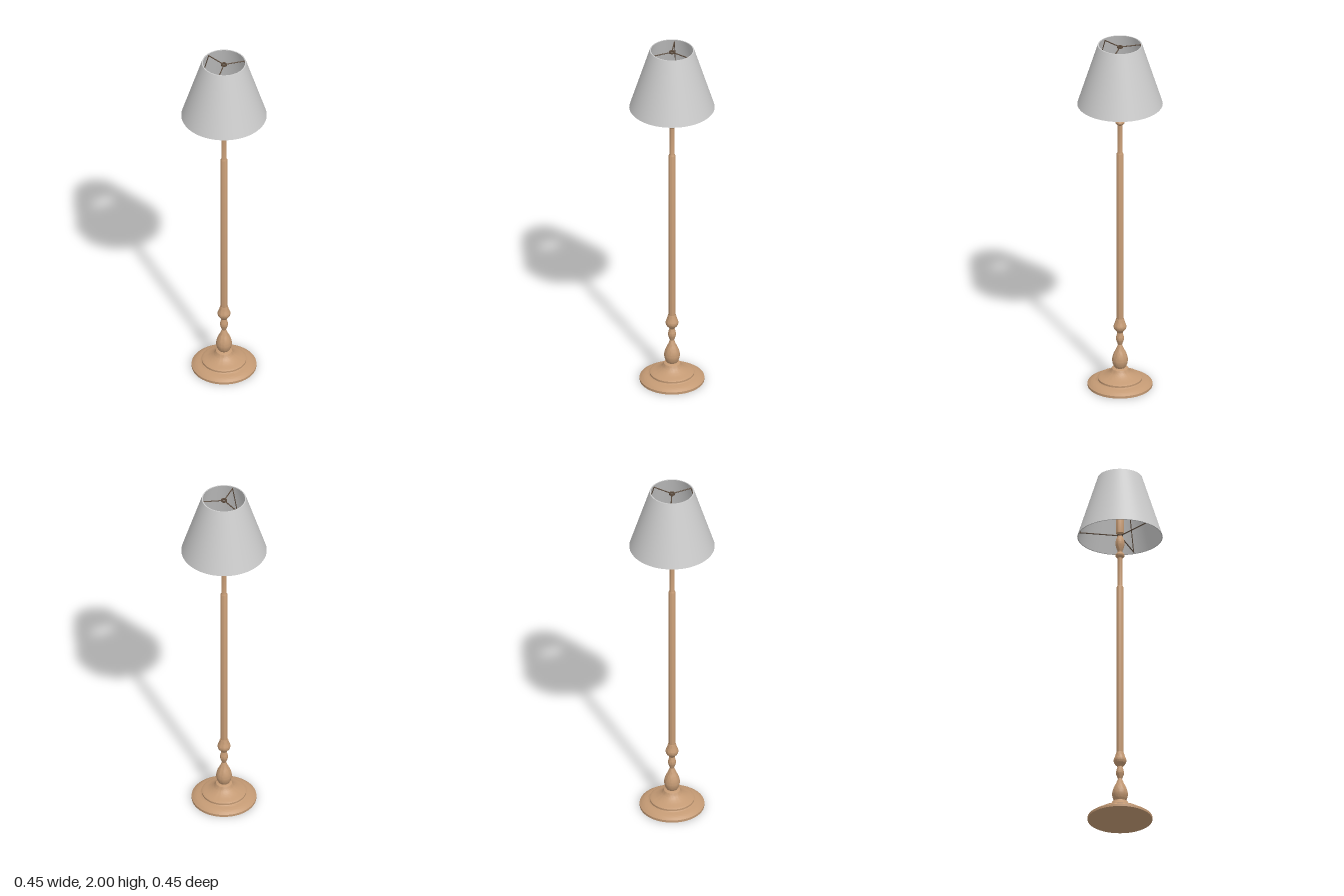
import * as THREE from 'three';
import { toCreasedNormals } from 'three/addons/utils/BufferGeometryUtils.js';

const wood = new THREE.MeshStandardMaterial({ color: 0xc49a74 });
const wire = new THREE.MeshStandardMaterial({ color: 0x5a4a3c });
const fabric = new THREE.MeshStandardMaterial({ color: 0xcccccc, side: THREE.DoubleSide });

const vec = ([r, y]) => new THREE.Vector2(r, y);
// smooth turned section through a few [radius, height] points
const curve = (pts, n = 20) => new THREE.SplineCurve(pts.map(vec)).getPoints(n);
const line = (pts) => pts.map(vec);

function turned(name, points, material, sides = 48) {
  const geometry = toCreasedNormals(new THREE.LatheGeometry(points, sides), 0.6);
  const mesh = new THREE.Mesh(geometry, material);
  mesh.name = name;
  return mesh;
}

function rod(name, a, b, radius) {
  const dir = b.clone().sub(a);
  const mesh = new THREE.Mesh(new THREE.CylinderGeometry(radius, radius, dir.length(), 8), wire);
  mesh.position.copy(a).add(b).multiplyScalar(0.5);
  mesh.quaternion.setFromUnitVectors(new THREE.Vector3(0, 1, 0), dir.normalize());
  mesh.name = name;
  return mesh;
}

export function createModel() {
  const lamp = new THREE.Group();
  lamp.name = 'floorLamp';

  // stepped round foot with a cove rising to the stem
  lamp.add(turned('foot', [
    ...line([[0, 0], [0.172, 0], [0.172, 0.013]]),
    ...curve([[0.168, 0.016], [0.15, 0.027], [0.12, 0.035]], 8),
    ...line([[0.118, 0.037], [0.118, 0.047]]),
    ...curve([[0.112, 0.051], [0.08, 0.063], [0.055, 0.08], [0.043, 0.1]], 14),
    ...line([[0.03, 0.106], [0, 0.106]]),
  ], wood, 64));

  // turned baluster below the shaft
  lamp.add(turned('baluster', [
    ...curve([[0.027, 0.104], [0.037, 0.122], [0.042, 0.15], [0.035, 0.182], [0.021, 0.212], [0.011, 0.238]]),
    ...curve([[0.013, 0.243], [0.019, 0.26], [0.022, 0.275], [0.018, 0.292], [0.014, 0.308]], 14),
    ...curve([[0.018, 0.315], [0.031, 0.331], [0.034, 0.348], [0.027, 0.368], [0.02, 0.392]], 16),
    ...line([[0, 0.392]]),
  ], wood));

  // long shaft, stepping in near the top
  lamp.add(turned('shaft', line([
    [0.018, 0.385], [0.018, 1.36], [0.0135, 1.368], [0.0135, 1.532],
  ]), wood, 32));

  // upper turnings and the socket tube hidden in the shade
  lamp.add(turned('collar', [
    ...curve([[0.013, 1.53], [0.021, 1.538], [0.025, 1.547], [0.02, 1.556], [0.013, 1.562]], 12),
    ...curve([[0.012, 1.57], [0.018, 1.585], [0.024, 1.612], [0.022, 1.635], [0.014, 1.658]], 16),
  ], wood));
  lamp.add(turned('socket', line([
    [0.013, 1.656], [0.013, 1.668], [0.021, 1.676], [0.021, 1.775], [0.018, 1.78], [0, 1.78],
  ]), wood, 32));

  // conical shade with wall thickness
  lamp.add(turned('shade', line([
    [0.227, 1.655], [0.118, 2], [0.112, 2], [0.221, 1.655], [0.227, 1.655],
  ]), fabric, 64));

  // wire frame: two spiders joined by struts along the inside of the shade
  const frame = new THREE.Group();
  frame.name = 'shadeFrame';
  const lowY = 1.662, topY = 1.988;
  for (const [y, name] of [[lowY, 'lowerHub'], [topY, 'upperHub']]) {
    frame.add(turned(name, line([
      [0.008, y - 0.004], [0.016, y - 0.004], [0.016, y + 0.004], [0.008, y + 0.004], [0.008, y - 0.004],
    ]), wire, 24));
  }
  for (let i = 0; i < 3; i++) {
    const a = (i * Math.PI * 2) / 3;
    const at = (r, y) => new THREE.Vector3(r * Math.sin(a), y, r * Math.cos(a));
    frame.add(rod('lowerArm', at(0.013, lowY), at(0.218, lowY), 0.003));
    frame.add(rod('upperArm', at(0.013, topY), at(0.114, topY), 0.003));
    frame.add(rod('strut', at(0.216, lowY), at(0.113, topY), 0.0025));
  }
  lamp.add(frame);
  return lamp;
}
